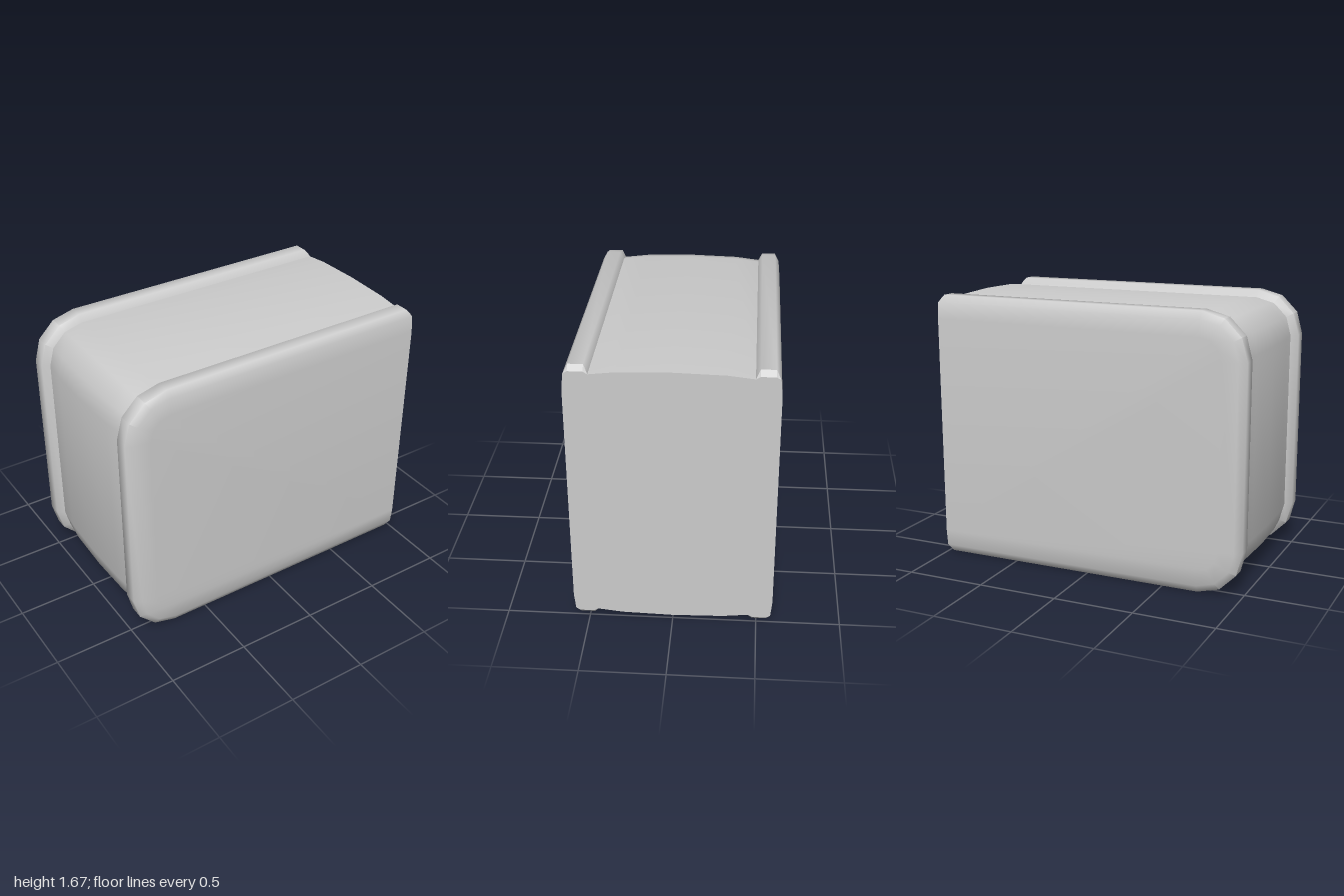
import * as THREE from 'three';
import { toCreasedNormals } from 'three/addons/utils/BufferGeometryUtils.js';

const HALF_X = 1, HEIGHT = 1.675, RADIUS = 0.275, CHAMFER = 0.03;

// Depth profile of one half: [z, inset from the outer outline]
const half = [[0.595, 0.145], [0.585, 0.045], [0.56, 0], [0.475, 0], [0.45, 0.045], [0.3, 0.028]];
const profile = [...half, [0, 0.02], ...half.map(([z, d]) => [-z, d]).reverse()];

// Outline: flat on +x, two rounded corners on -x, running counterclockwise
function outline(z, d) {
  const cut = d === 0 ? CHAMFER : 0; // only the rim crests are clipped at the flat end
  const top = HEIGHT - d, r = RADIUS - d;
  const pts = [[HALF_X, d + cut], [HALF_X, top - cut], [HALF_X - cut, top]];
  for (const [cy, start] of [[HEIGHT - RADIUS, Math.PI / 2], [RADIUS, Math.PI]]) {
    for (let i = 0; i <= 3; i++) {
      const a = start + (i * Math.PI) / 6;
      pts.push([-HALF_X + RADIUS + r * Math.cos(a), cy + r * Math.sin(a)]);
    }
  }
  pts.push([HALF_X - cut, d]);
  return pts.map(([x, y]) => [x, y, z]);
}

function buildGeometry(triangles, crease) {
  const geometry = new THREE.BufferGeometry();
  geometry.setAttribute('position', new THREE.Float32BufferAttribute(triangles.flat(), 3));
  return toCreasedNormals(geometry, crease);
}

export function createModel() {
  const group = new THREE.Group();
  const material = new THREE.MeshStandardMaterial({ color: 0xcccccc });
  const rings = profile.map(([z, d]) => outline(z, d));
  const n = rings[0].length;
  const shell = [], end = [];

  // Loft between neighbouring outlines; the +x columns form the flat end
  for (let i = 0; i < rings.length - 1; i++) {
    for (let j = 0; j < n; j++) {
      const k = (j + 1) % n;
      const a = rings[i][j], b = rings[i][k], c = rings[i + 1][j], e = rings[i + 1][k];
      const target = j < 2 || j === n - 1 ? end : shell;
      target.push(a, c, b, b, c, e);
    }
  }

  // Broad front and back faces
  const front = rings[0], back = rings[rings.length - 1];
  for (let j = 1; j < n - 1; j++) {
    shell.push(front[0], front[j], front[j + 1], back[0], back[j + 1], back[j]);
  }

  const add = (name, triangles, crease) => {
    const mesh = new THREE.Mesh(buildGeometry(triangles, crease), material);
    mesh.name = name;
    group.add(mesh);
  };
  add('rimmedShell', shell, 1.12);
  add('flatEnd', end, 0.3);
  group.name = 'roundedCase';
  return group;
}
